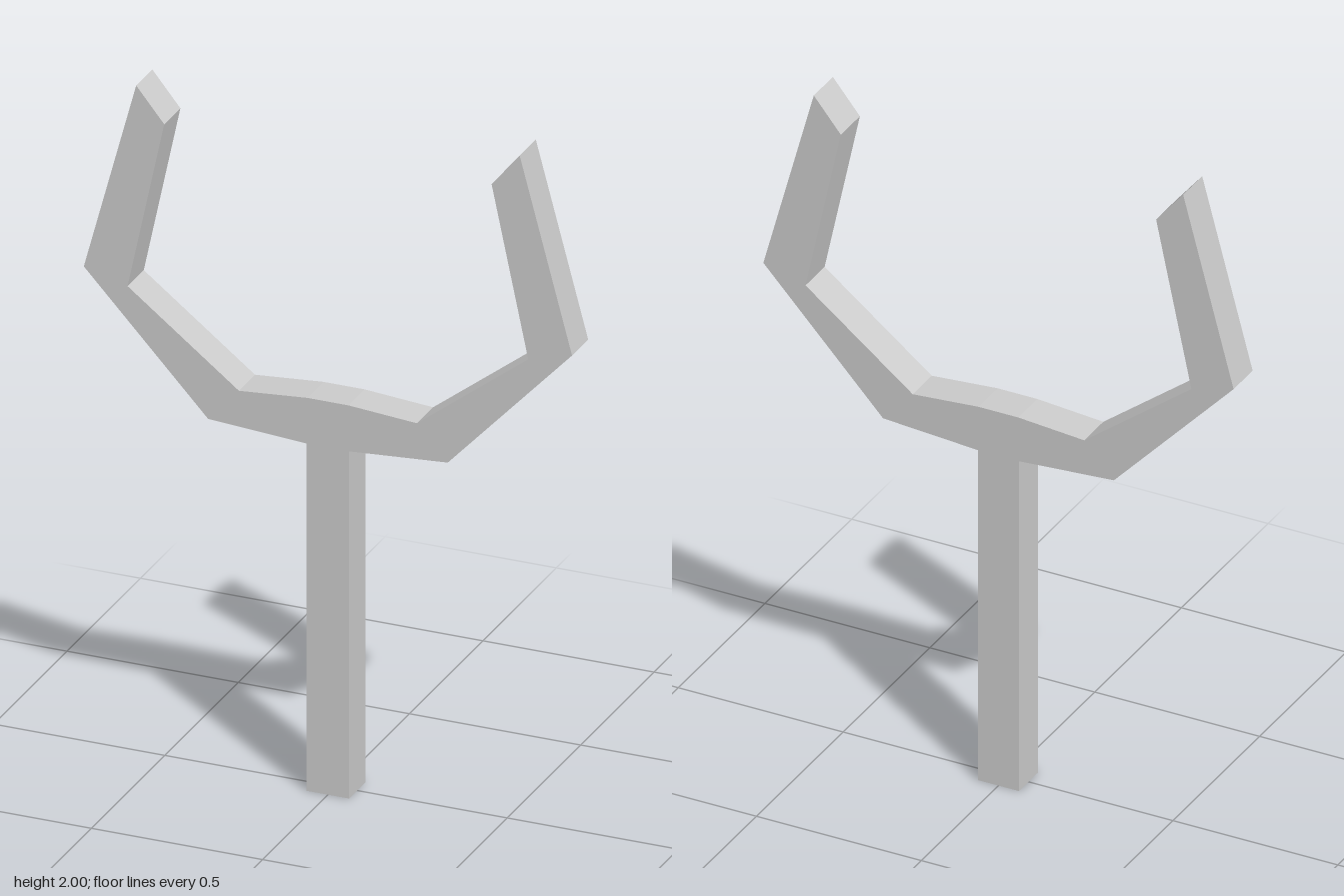
import * as THREE from 'three';

const DEPTH = 0.11;

export function createModel() {
  const group = new THREE.Group();
  group.name = 'slingshot';

  // Left half of the outline, from the handle's foot round the prong to the crown
  const half = [
    [0.062, 0], [0.062, 1.03],     // handle
    [0.35, 1.05], [0.713, 1.435],  // outer side of the fork
    [0.56, 2], [0.478, 1.9],       // slanted prong tip
    [0.585, 1.4], [0.26, 1.15],    // inner side of the fork
    [0.06, 1.166],                 // gently raised crown
  ];
  const mirrored = half.map(([x, y]) => [-x, y]).reverse();
  const outline = [...half, ...mirrored].map(([x, y]) => new THREE.Vector2(x, y));

  // One solid frame: handle and forked prongs share the same thickness
  const geometry = new THREE.ExtrudeGeometry(new THREE.Shape(outline), {
    depth: DEPTH,
    bevelEnabled: false,
  });
  geometry.translate(0, 0, -DEPTH / 2);

  const material = new THREE.MeshStandardMaterial({ color: 0xcccccc, flatShading: true });
  const frame = new THREE.Mesh(geometry, material);
  frame.name = 'forkedFrame';
  group.add(frame);
  return group;
}
